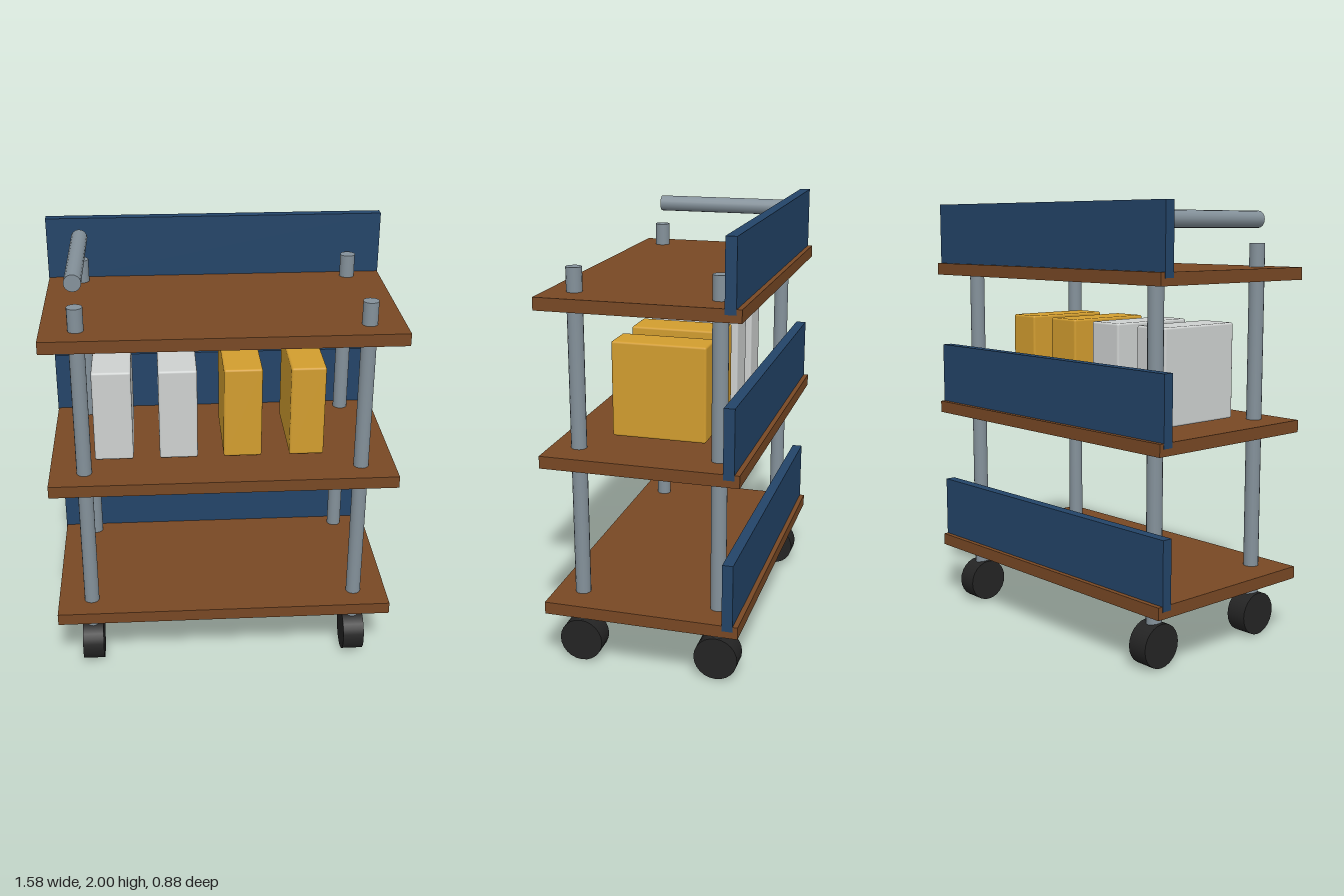
import * as THREE from 'three';
import { RoundedBoxGeometry } from 'three/addons/geometries/RoundedBoxGeometry.js';

const material = (name, color) => {
  const m = new THREE.MeshStandardMaterial({ color });
  m.name = name;
  return m;
};

export function createModel() {
  const wood = material('brown wood', 0x784824);
  const blue = material('navy blue', 0x234468);
  const steel = material('grey steel', 0x84919a);
  const rubber = material('black rubber', 0x242424);
  const pale = material('pale grey', 0xced1d0);
  const amber = material('amber', 0xd29d2f);

  const cart = new THREE.Group();
  cart.name = 'shelfCart';
  const add = (name, geometry, mat, x, y, z) => {
    const mesh = new THREE.Mesh(geometry, mat);
    mesh.name = name;
    mesh.position.set(x, y, z);
    cart.add(mesh);
    return mesh;
  };

  // Three shelves, each with an upright panel along the back
  const shelfGeo = new THREE.BoxGeometry(1.58, 0.056, 0.885);
  const panelGeo = new THREE.BoxGeometry(1.584, 0.31, 0.048);
  ['lower', 'middle', 'upper'].forEach((level, i) => {
    const y = 0.3 + i * 0.693;
    add(level + 'Shelf', shelfGeo, wood, 0, y, 0);
    add(level + 'BackPanel', panelGeo, blue, 0, y + 0.159, -0.396);
  });

  // Corner posts standing on wheels
  const postGeo = new THREE.CylinderGeometry(0.035, 0.035, 1.65, 16);
  const wheelGeo = new THREE.CylinderGeometry(0.1, 0.1, 0.1, 24).rotateZ(Math.PI / 2);
  for (const x of [-0.633, 0.633]) {
    for (const z of [-0.317, 0.317]) {
      add('post', postGeo, steel, x, 0.995, z);
      add('wheel', wheelGeo, rubber, x, 0.1, z);
    }
  }

  // Push handle along the right end
  const handleGeo = new THREE.CylinderGeometry(0.038, 0.038, 0.635, 16).rotateX(Math.PI / 2);
  add('handle', handleGeo, steel, -0.635, 1.925, 0);

  // Storage boxes on the middle shelf: centre x, width, colour
  const boxes = [[-0.498, 0.178, pale], [-0.2, 0.176, pale], [0.096, 0.176, amber], [0.393, 0.16, amber]];
  for (const [x, width, mat] of boxes) {
    add('storageBox', new RoundedBoxGeometry(width, 0.436, 0.432, 2, 0.01), mat, x, 1.249, 0.002);
  }
  return cart;
}
